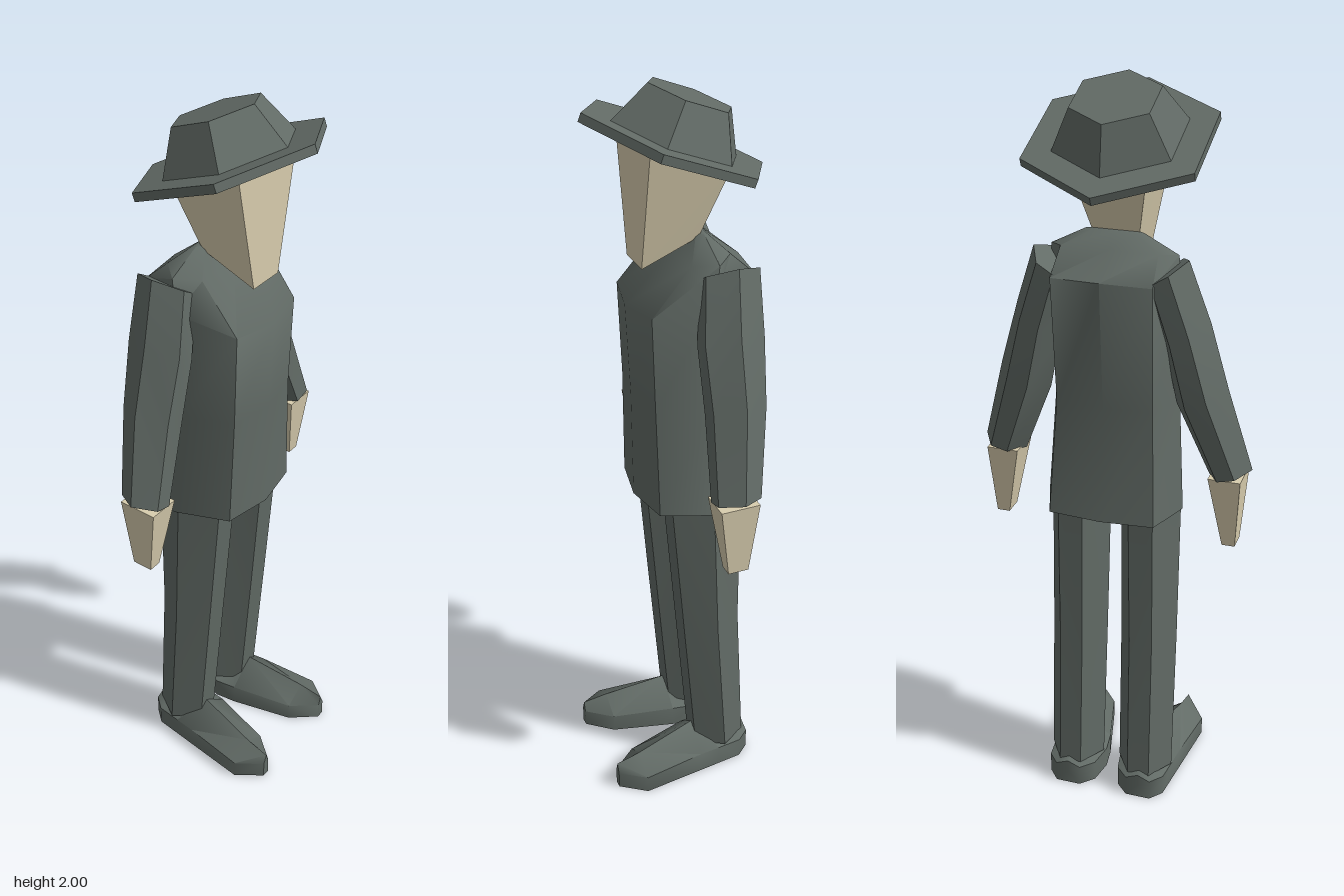
import * as THREE from 'three';
import { toCreasedNormals } from 'three/addons/utils/BufferGeometryUtils.js';

const suit = new THREE.MeshStandardMaterial({ color: 0x626b66 });
const skin = new THREE.MeshStandardMaterial({ color: 0xd8cdae });

// Closed skin over rings of [x, y, z] points, capped at both ends; winding is fixed by its volume
function loft(name, rings, material, side = 1, crease = 0.9) {
  const n = rings[0].length, tris = [];
  const v = rings.map(r => r.map(p => new THREE.Vector3(p[0] * side, p[1], p[2])));
  const mid = r => r.reduce((s, p) => s.add(p), new THREE.Vector3()).divideScalar(n);
  const first = mid(v[0]), last = mid(v[v.length - 1]);
  for (let j = 0; j < n; j++) {
    const k = (j + 1) % n;
    for (let i = 0; i < v.length - 1; i++) {
      tris.push([v[i][j], v[i][k], v[i + 1][k]], [v[i][j], v[i + 1][k], v[i + 1][j]]);
    }
    tris.push([first, v[0][k], v[0][j]], [last, v[v.length - 1][j], v[v.length - 1][k]]);
  }
  const centre = first.clone().add(last).multiplyScalar(0.5);
  let volume = 0;
  for (const [a, b, c] of tris) {
    volume += a.clone().sub(centre).dot(b.clone().sub(centre).cross(c.clone().sub(centre)));
  }
  const points = tris.flatMap(([a, b, c]) => (volume > 0 ? [a, b, c] : [a, c, b]));
  const geometry = new THREE.BufferGeometry().setFromPoints(points);
  const mesh = new THREE.Mesh(toCreasedNormals(geometry, crease), material);
  mesh.name = name;
  return mesh;
}

// Rectangular ring
const rect = (x0, x1, y, z0, z1) => [[x0, y, z0], [x1, y, z0], [x1, y, z1], [x0, y, z1]];

// Eight-sided jacket ring whose height may differ between front and back
function jacketRing(w, yFront, yBack, zFront, zBack) {
  const outline = [[1, 0.45], [0.76, 0.04], [0, 0], [-0.76, 0.04], [-1, 0.45], [-0.7, 0.92], [0, 1], [0.7, 0.92]];
  return outline.map(([x, t]) => [
    x * w, THREE.MathUtils.lerp(yBack, yFront, t), THREE.MathUtils.lerp(zBack, zFront, t)]);
}

// Six-sided limb ring; tilt raises its outer side
function limbRing(cx, y, cz, rx, rz, tilt = 0) {
  const outline = [[1, 0], [0.4, 0.95], [-0.4, 0.95], [-1, 0], [-0.4, -0.95], [0.4, -0.95]];
  return outline.map(([x, z]) => [cx + x * rx, y + x * tilt, cz + z * rz]);
}

// Five-sided shoe section with a ridge on top
const shoeRing = (z, xIn, xOut, xTop, hSide, hTop) =>
  [[xIn, 0, z], [xOut, 0, z], [xOut, hSide, z], [xTop, hTop, z], [xIn, hSide, z]];

function createHat() {
  const hat = new THREE.Group();
  hat.name = 'hat';
  const add = (name, top, bottom, height, y) => {
    const geometry = new THREE.CylinderGeometry(top, bottom, height, 6).toNonIndexed();
    const mesh = new THREE.Mesh(toCreasedNormals(geometry, 0.9), suit);
    mesh.name = name;
    mesh.position.y = y;
    hat.add(mesh);
  };
  add('hatBrim', 0.25, 0.25, 0.022, -0.011);
  add('hatCrown', 0.115, 0.173, 0.107, 0.0535);
  hat.position.set(0, 1.858, -0.003);
  hat.rotation.x = -0.37;
  return hat;
}

export function createModel() {
  const model = new THREE.Group();
  model.name = 'manInHat';
  model.add(createHat());

  // Wedge-shaped head with a flat face and a sloping jaw
  model.add(loft('head', [
    [[-0.05, 1.56, 0.105], [0.05, 1.56, 0.105], [0.06, 1.625, -0.04], [-0.06, 1.625, -0.04]],
    [[-0.116, 1.885, 0.105], [0.116, 1.885, 0.105], [0.1, 1.81, -0.11], [-0.1, 1.81, -0.11]],
  ], skin, 1, 0.5));

  // Jacket, rising to a narrow shoulder ridge
  model.add(loft('jacket', [
    jacketRing(0.187, 0.89, 0.89, 0.117, -0.185),
    jacketRing(0.168, 1.2, 1.2, 0.12, -0.15),
    jacketRing(0.172, 1.45, 1.54, 0.132, -0.175),
    jacketRing(0.165, 1.575, 1.6, 0.01, -0.1),
    jacketRing(0.075, 1.635, 1.635, -0.035, -0.06),
  ], suit));

  for (const side of [1, -1]) {
    const label = side > 0 ? 'left' : 'right';
    model.add(loft(label + 'Arm', [
      limbRing(0.145, 1.555, -0.085, 0.055, 0.075, 0.035),
      limbRing(0.195, 1.4, -0.07, 0.06, 0.083, 0.03),
      limbRing(0.237, 1.23, -0.067, 0.068, 0.075, 0.025),
      limbRing(0.311, 1.015, -0.04, 0.057, 0.062, 0.014),
    ], suit, side));

    model.add(loft(label + 'Hand', [
      rect(0.3, 0.335, 0.81, -0.068, -0.012),
      rect(0.262, 0.348, 1.01, -0.09, 0.016),
    ], skin, side, 0.5));

    model.add(loft(label + 'Leg', [
      limbRing(0.102, 0.07, -0.088, 0.078, 0.078),
      limbRing(0.1, 0.5, -0.058, 0.08, 0.086),
      limbRing(0.097, 0.92, -0.04, 0.083, 0.105),
    ], suit, side));

    model.add(loft(label + 'Shoe', [
      shoeRing(-0.175, 0.07, 0.14, 0.105, 0.06, 0.075),
      shoeRing(-0.14, 0.035, 0.17, 0.105, 0.06, 0.095),
      shoeRing(-0.07, 0.022, 0.178, 0.105, 0.06, 0.09),
      shoeRing(-0.01, 0.03, 0.185, 0.11, 0.062, 0.13),
      shoeRing(0.165, 0.075, 0.205, 0.138, 0.052, 0.092),
      shoeRing(0.235, 0.133, 0.155, 0.143, 0.05, 0.078),
    ], suit, side));
  }
  return model;
}
